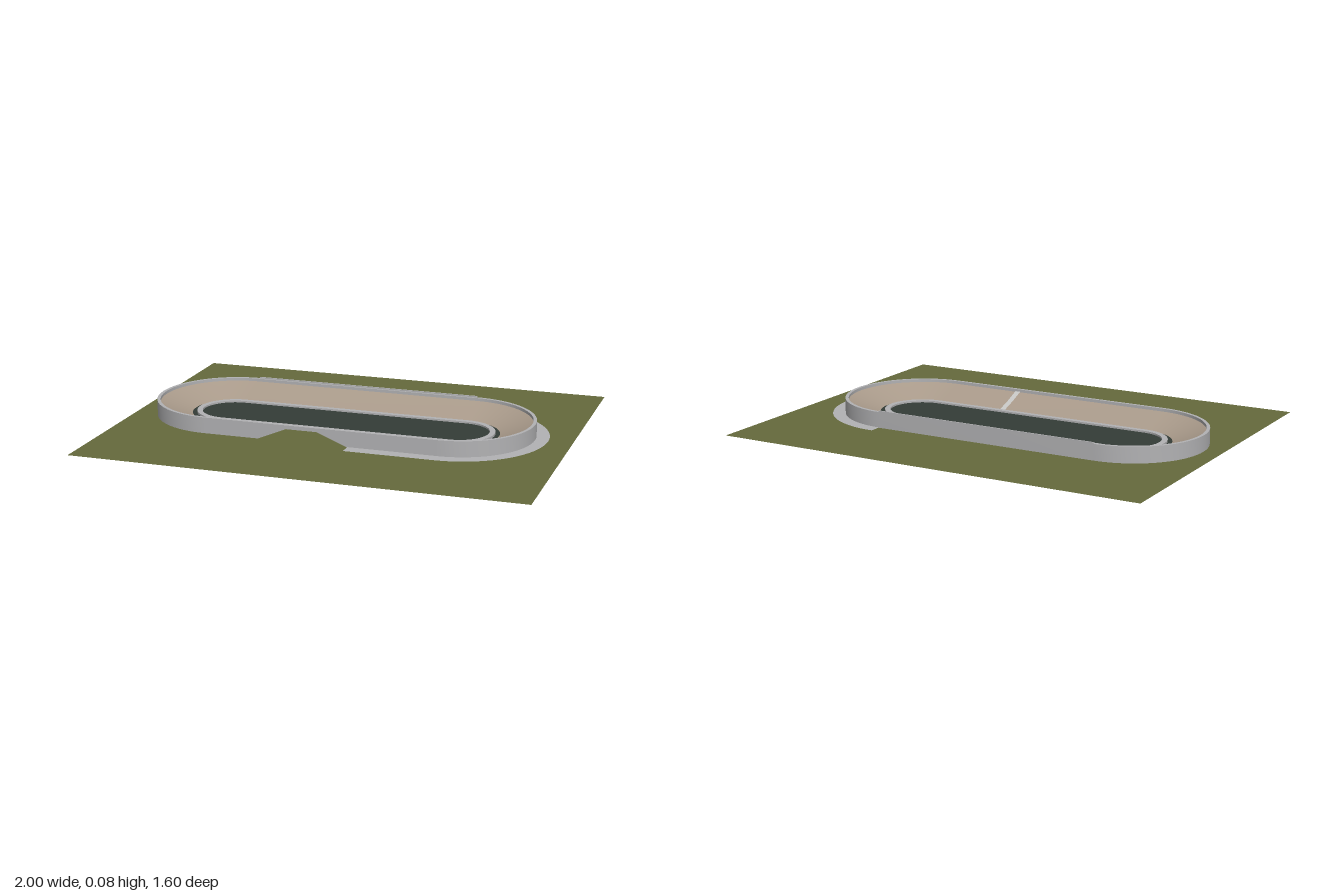
import * as THREE from 'three';
import { toCreasedNormals } from 'three/addons/utils/BufferGeometryUtils.js';

// Oval layout: two arc centres joined by straights
const XL = -0.575, XR = 0.49, ZC = -0.0175, SEG = 40;
const WALL_H = 0.072, WALL_IN = 0.33, WALL_OUT = 0.345;

function mat(name, color) {
  const m = new THREE.MeshStandardMaterial({ color });
  m.name = name;
  return m;
}

// Stations [centre x, angle] along one end curve
function arc(cx, from, to) {
  return Array.from({ length: SEG + 1 }, (_, i) => [cx, from + (to - from) * i / SEG]);
}

// Sweep a [radius, height] section along stations; inner-to-outer faces up
function sweep(stations, section, closed) {
  const pos = [], idx = [], n = section.length, s = stations.length;
  for (const [cx, t] of stations)
    for (const [r, y] of section) pos.push(cx + r * Math.cos(t), y, ZC + r * Math.sin(t));
  const steps = closed ? s : s - 1;
  for (let j = 0; j < steps; j++) {
    const k = (j + 1) % s;
    for (let i = 0; i < n - 1; i++) {
      const a = j * n + i, c = k * n + i;
      idx.push(a, c, a + 1, a + 1, c, c + 1);
    }
  }
  const g = new THREE.BufferGeometry();
  g.setAttribute('position', new THREE.Float32BufferAttribute(pos, 3));
  g.setIndex(idx);
  return toCreasedNormals(g, 0.5);
}

export function createModel() {
  const group = new THREE.Group();
  const grass = mat('grass', 0x656a3c);
  const concrete = mat('concrete', 0xb2b2b4);
  const boards = mat('track boards', 0xa99a8a);
  const dark = mat('dark infield', 0x343c37);
  const white = mat('line paint', 0xc6c6c4);
  grass.side = boards.side = THREE.DoubleSide;

  const add = (name, geometry, material) => {
    const m = new THREE.Mesh(geometry, material);
    m.name = name;
    group.add(m);
    return m;
  };

  const H = Math.PI / 2;
  // Runs from the front-left bend start round to the front-right bend end
  const oval = [...arc(XL, H, 3 * H), ...arc(XR, 3 * H, 5 * H)];

  // Ground
  add('ground', new THREE.PlaneGeometry(2, 1.6).rotateX(-H), grass);

  // Banked track surface, with its underside visible through the entrance
  const bank = [[0.185, 0.005], [0.26, 0.031], [0.333, 0.06]];
  add('bankedTrack', sweep(oval, bank, true), boards);

  // Outer wall around the bends and back straight
  add('outerWall', sweep(oval, [
    [WALL_IN, 0], [WALL_IN, WALL_H], [WALL_OUT, WALL_H], [WALL_OUT, 0],
  ], false), concrete);

  // Front straight wall with the sloped entrance opening
  const front = new THREE.Shape([
    [XL, 0], [-0.32, 0], [-0.19, 0.055], [-0.05, 0.055], [0.09, 0],
    [XR, 0], [XR, WALL_H], [XL, WALL_H],
  ].map(([x, y]) => new THREE.Vector2(x, y)));
  add('frontWall', new THREE.ExtrudeGeometry(front, { depth: WALL_OUT - WALL_IN, bevelEnabled: false }), concrete)
    .position.z = ZC + WALL_IN;

  // Slim coping along the back straight
  add('backCoping', new THREE.BoxGeometry(XR - XL, 0.006, 0.006), concrete)
    .position.set((XL + XR) / 2, WALL_H + 0.003, ZC - WALL_OUT + 0.003);

  // Inner apron, kerb and infield
  add('innerApron', sweep(oval, [[0.16, 0.004], [0.187, 0.004]], true), dark);
  add('innerKerb', sweep(oval, [[0.14, 0], [0.14, 0.014], [0.165, 0.014], [0.165, 0]], true), concrete);
  add('infield', sweep(oval, [[0, 0.006], [0.142, 0.006]], true), dark);

  // Finish line laid on the banking
  add('finishLine', sweep([[0.175, H], [0.15, H]],
    bank.map(([r, y]) => [Math.min(r, 0.329), y + 0.002]), false), white);

  // Footpath from the entrance round the right-hand bend
  add('footpath', sweep([...arc(XR, -H, H), [0.09, H]], [[0.344, 0.0015], [0.403, 0.0015]], false), concrete);

  return group;
}
